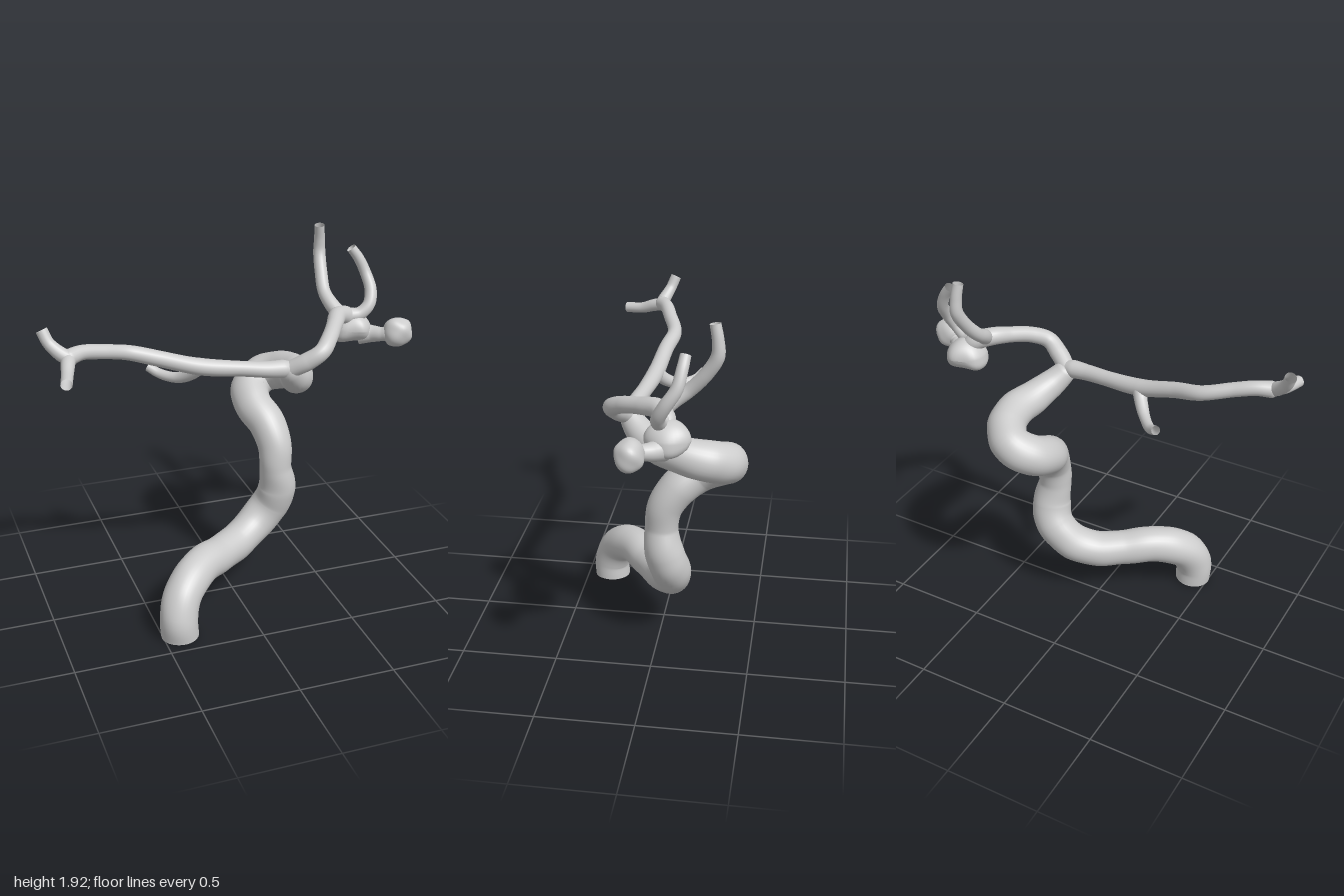
import * as THREE from 'three';
import { mergeVertices } from 'three/addons/utils/BufferGeometryUtils.js';

const material = new THREE.MeshStandardMaterial({ color: 0xcccccc, side: THREE.DoubleSide });

// Gentle organic unevenness of the surface
const bump = (p) => 1 + 0.025 * Math.sin(p.x * 23 + p.y * 17) * Math.sin(p.z * 21 + p.y * 13 + 1);

function smoothMesh(name, geometry) {
  geometry.deleteAttribute('uv');
  geometry.deleteAttribute('normal');
  const merged = mergeVertices(geometry, 1e-5);
  merged.computeVertexNormals();
  const mesh = new THREE.Mesh(merged, material);
  mesh.name = name;
  return mesh;
}

// Open tube of varying radius through points [x, y, z, radius]
function vessel(name, points, sides = 20) {
  const curve = new THREE.CatmullRomCurve3(points.map(([x, y, z]) => new THREE.Vector3(x, y, z)));
  const rings = points.length * 9;
  const geometry = new THREE.TubeGeometry(curve, rings, 1, sides);
  const pos = geometry.attributes.position;
  const v = new THREE.Vector3();
  for (let i = 0; i <= rings; i++) {
    const centre = curve.getPointAt(i / rings);
    const f = curve.getUtoTmapping(i / rings) * (points.length - 1);
    const k = Math.min(Math.floor(f), points.length - 2);
    const radius = THREE.MathUtils.lerp(points[k][3], points[k + 1][3], f - k);
    for (let j = 0; j <= sides; j++) {
      const n = i * (sides + 1) + j;
      v.fromBufferAttribute(pos, n).sub(centre).multiplyScalar(radius).add(centre);
      v.sub(centre).multiplyScalar(bump(v.clone().add(centre))).add(centre);
      pos.setXYZ(n, v.x, v.y, v.z);
    }
  }
  return smoothMesh(name, geometry);
}

// Lumpy sac: a sphere reshaped by a rule
function sac(name, centre, size, rule) {
  const geometry = new THREE.SphereGeometry(1, 32, 24);
  const pos = geometry.attributes.position;
  const v = new THREE.Vector3();
  for (let i = 0; i < pos.count; i++) {
    v.fromBufferAttribute(pos, i);
    rule(v);
    pos.setXYZ(i, centre[0] + v.x * size[0], centre[1] + v.y * size[1], centre[2] + v.z * size[2]);
  }
  return smoothMesh(name, geometry);
}

export function createModel() {
  const model = new THREE.Group();
  model.name = 'arteryTree';

  model.add(
    // Thick winding trunk
    vessel('mainTrunk', [
      [-0.41, 0.018, 0.36, 0.097], [-0.415, 0.11, 0.36, 0.1], [-0.375, 0.23, 0.31, 0.1],
      [-0.25, 0.3, 0.2, 0.1], [-0.1, 0.295, 0.09, 0.096], [0.03, 0.3, 0, 0.097],
      [0.15, 0.36, -0.06, 0.1], [0.245, 0.46, -0.07, 0.104], [0.275, 0.57, -0.04, 0.102],
      [0.258, 0.7, -0.025, 0.086], [0.258, 0.82, -0.04, 0.09], [0.235, 0.93, -0.11, 0.098],
      [0.195, 1.0, -0.21, 0.1], [0.22, 1.06, -0.32, 0.104], [0.31, 1.115, -0.355, 0.103],
      [0.39, 1.155, -0.27, 0.102], [0.405, 1.185, -0.15, 0.094], [0.37, 1.205, -0.03, 0.086],
      [0.32, 1.25, 0.065, 0.074], [0.265, 1.32, 0.13, 0.055], [0.25, 1.35, 0.14, 0.03],
    ], 32),

    // Long right branch with its end fork and side twig
    vessel('rightBranch', [
      [0.3, 1.325, 0.13, 0.03], [0.23, 1.33, 0.13, 0.047], [0.14, 1.335, 0.125, 0.042], [0, 1.35, 0.1, 0.04],
      [-0.2, 1.375, 0.07, 0.044], [-0.4, 1.435, 0.045, 0.04], [-0.55, 1.475, 0.02, 0.038],
      [-0.7, 1.515, 0.065, 0.036], [-0.8, 1.535, 0.1, 0.038], [-0.87, 1.53, 0.135, 0.042], [-0.895, 1.53, 0.145, 0.025],
    ]),
    vessel('rightForkUpper', [
      [-0.86, 1.525, 0.14, 0.036], [-0.9, 1.55, 0.125, 0.035], [-0.95, 1.6, 0.095, 0.029], [-0.975, 1.66, 0.07, 0.029],
    ]),
    vessel('rightForkFront', [
      [-0.86, 1.53, 0.12, 0.036], [-0.88, 1.515, 0.18, 0.034], [-0.9, 1.49, 0.25, 0.03], [-0.925, 1.48, 0.345, 0.029],
    ]),
    vessel('sideTwig', [
      [-0.19, 1.375, 0.07, 0.038], [-0.225, 1.325, 0.025, 0.033], [-0.28, 1.285, -0.04, 0.028],
      [-0.35, 1.287, -0.12, 0.025], [-0.4, 1.315, -0.16, 0.023],
    ]),

    // Left branch and its two rising vessels
    vessel('leftBranch', [
      [0.25, 1.31, 0.12, 0.045], [0.34, 1.37, 0.175, 0.047], [0.41, 1.42, 0.195, 0.044], [0.48, 1.465, 0.13, 0.041],
      [0.55, 1.495, 0.03, 0.042], [0.61, 1.51, -0.06, 0.047], [0.67, 1.49, -0.1, 0.05], [0.7, 1.46, -0.11, 0.045],
    ]),
    vessel('tallVessel', [
      [0.63, 1.505, -0.07, 0.042], [0.6, 1.55, -0.13, 0.038], [0.587, 1.6, -0.2, 0.034], [0.6, 1.69, -0.28, 0.033],
      [0.61, 1.78, -0.33, 0.033], [0.608, 1.85, -0.33, 0.029], [0.6, 1.93, -0.315, 0.026],
    ]),
    vessel('curvedVessel', [
      [0.67, 1.49, -0.1, 0.042], [0.74, 1.495, -0.085, 0.036], [0.795, 1.54, -0.085, 0.033], [0.82, 1.61, -0.12, 0.032],
      [0.81, 1.69, -0.17, 0.03], [0.775, 1.77, -0.19, 0.028], [0.735, 1.825, -0.2, 0.026],
    ]),

    // Large sac, wide at its base, with a smaller sac beside it
    sac('largeSac', [0.715, 1.42, -0.12], [0.105, 0.088, 0.105], (v) => {
      v.x *= 1 - 0.3 * v.y;
      v.y += 0.12 * Math.cos(v.x * 3) * (v.y < 0 ? 1 : -0.3);
      v.z *= 1 + 0.1 * Math.sin(v.x * 4);
    }),
    vessel('sacNeck', [
      [0.76, 1.38, -0.1, 0.06], [0.81, 1.385, -0.06, 0.045], [0.85, 1.395, -0.01, 0.036], [0.9, 1.41, 0.02, 0.05],
    ]),
    sac('smallSac', [0.92, 1.41, 0.025], [0.08, 0.079, 0.068], (v) => {
      v.multiplyScalar(1 + 0.06 * Math.sin(v.x * 4 + 1) * Math.cos(v.y * 4 - v.z * 2));
    }),
  );
  return model;
}
